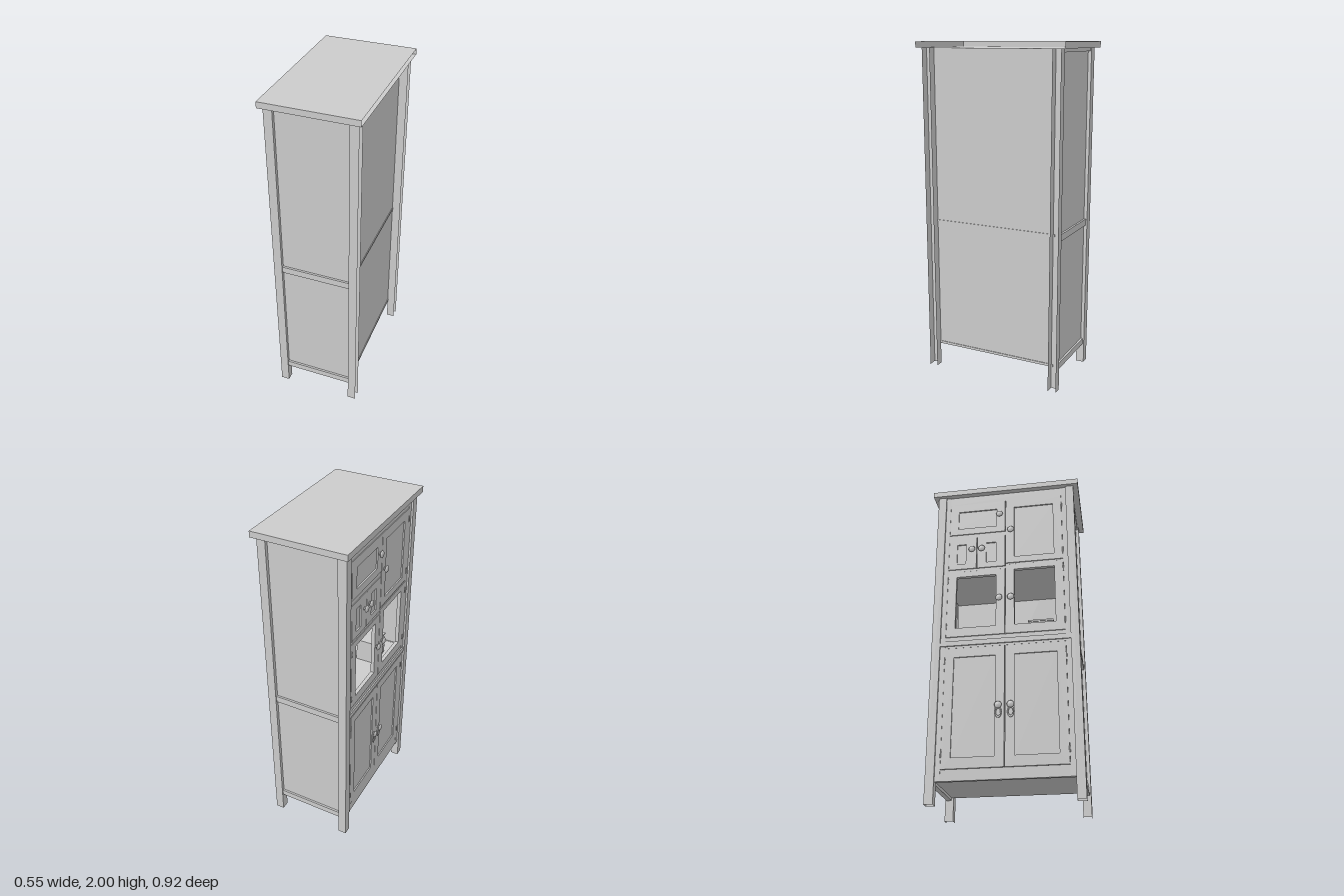
import * as THREE from 'three';

const mat = new THREE.MeshStandardMaterial({ color: 0xcccccc });
const openMat = new THREE.MeshStandardMaterial({ color: 0xcccccc, side: THREE.DoubleSide });

// box sides in the order BoxGeometry stores them
const SIDES = ['+x', '-x', '+y', '-y', '+z', '-z'];

export function createModel() {
  const root = new THREE.Group();
  root.name = 'cabinet';

  const add = (name, geo, parent = root, material = mat) => {
    const m = new THREE.Mesh(geo, material);
    m.name = name;
    parent.add(m);
    return m;
  };
  // box given by its extents
  const box = (name, x0, x1, y0, y1, z0, z1, parent, material) => {
    const m = add(name, new THREE.BoxGeometry(x1 - x0, y1 - y0, z1 - z0), parent, material);
    m.position.set((x0 + x1) / 2, (y0 + y1) / 2, (z0 + z1) / 2);
    return m;
  };
  // hollow box with some sides left out
  const openBox = (open, ...args) => {
    const { geometry } = box(...args, root, openMat);
    const index = Array.from(geometry.index.array);
    geometry.setIndex(index.filter((v, i) => !open.includes(SIDES[Math.floor(i / 6)])));
    geometry.clearGroups();
  };

  // top slab, hollow and open toward the wall
  openBox(['+x'], 'topSlab', -0.275, 0.275, 1.965, 2, -0.46, 0.46);

  // four square corner legs without soles, the rear pair open toward the wall
  for (const sx of [-1, 1]) for (const sz of [-1, 1]) {
    const x = sx * 0.23, z = sz * 0.405;
    openBox(sx > 0 ? ['-y', '+x'] : ['-y'], 'leg', x - 0.025, x + 0.025, 0, 1.965, z - 0.025, z + 0.025);
  }

  // side panels with their rails, mirrored in z
  for (const s of [-1, 1]) {
    const side = new THREE.Group();
    side.name = 'side';
    const slab = (name, y0, y1, zOut, t) => {
      const a = s * zOut, b = s * (zOut - t);
      box(name, -0.205, 0.205, y0, y1, Math.min(a, b), Math.max(a, b), side);
    };
    slab('sidePanel', 0.14, 1.965, 0.41, 0.012);
    slab('bottomSideRail', 0.122, 0.16, 0.422, 0.03);
    slab('middleSideRail', 0.905, 0.945, 0.422, 0.03);
    slab('topSideRail', 1.945, 1.965, 0.422, 0.03);
    root.add(side);
  }

  // back panel set in behind the rear legs
  box('backPanel', 0.195, 0.205, 0.15, 1.965, -0.39, 0.39);

  // floor and shelves; the middle shelf shows as a thin edge at the back
  box('floor', -0.22, 0.209, 0.137, 0.152, -0.39, 0.39);
  box('middleShelf', -0.22, 0.209, 0.932, 0.945, -0.39, 0.39);
  box('upperShelf', -0.22, 0.195, 1.42, 1.435, -0.39, 0.39);

  // face frame
  for (const s of [-1, 1]) box('frameStile', -0.244, -0.22, 0.122, 1.965, s * 0.366 - 0.015, s * 0.366 + 0.015);
  for (const [y0, y1, z0, z1] of [
    [0.122, 0.186, -0.351, 0.351], [0.902, 0.972, -0.351, 0.351], [1.907, 1.965, -0.351, 0.351],
    [1.438, 1.446, 0, 0.351], [1.652, 1.678, -0.351, 0], [1.412, 1.428, -0.351, 0],
  ]) box('frameRail', -0.242, -0.22, y0, y1, z0, z1);
  box('raisedRail', -0.25, -0.242, 0.915, 0.945, -0.38, 0.38);

  // framed door: outer rectangle with an opening, filled by a recessed panel or left open
  const rect = (P, a, b, c, d) => {
    const p = new P();
    p.moveTo(a, c); p.lineTo(b, c); p.lineTo(b, d); p.lineTo(a, d); p.closePath();
    return p;
  };
  const door = (name, [z0, z1, y0, y1], [pz0, pz1, py0, py1], open = false) => {
    const g = new THREE.Group();
    g.name = name;
    const shape = rect(THREE.Shape, z0, z1, y0, y1);
    shape.holes.push(rect(THREE.Path, pz0, pz1, py0, py1));
    const geo = new THREE.ExtrudeGeometry(shape, { depth: 0.022, bevelEnabled: false });
    geo.rotateY(-Math.PI / 2);
    geo.translate(-0.223, 0, 0);
    add('doorFrame', geo, g);
    if (!open) box('doorPanel', -0.237, -0.225, py0, py1, pz0, pz1, g);
    root.add(g);
  };
  for (const s of [-1, 1]) {
    const span = (a, b) => (s > 0 ? [a, b] : [-b, -a]);
    const outer = span(0.002, 0.35), inner = span(0.055, 0.297);
    door('lowerDoor', [...outer, 0.188, 0.9], [...inner, 0.25, 0.842]);
    const top = s > 0 ? 1.436 : 1.41;
    door('openDoor', [...outer, 0.974, top], [...inner, 1.03, top - 0.036], true);
  }
  door('upperDoor', [0.002, 0.35, 1.448, 1.905], [0.055, 0.297, 1.49, 1.851]);
  door('drawerFront', [-0.35, -0.002, 1.68, 1.905], [-0.297, -0.055, 1.724, 1.85]);
  door('smallDoor', [-0.35, -0.179, 1.43, 1.65], [-0.3, -0.245, 1.467, 1.605]);
  door('smallDoor', [-0.175, -0.002, 1.43, 1.65], [-0.118, -0.057, 1.467, 1.605]);

  // round knobs on short stems
  const profile = [[0, 0], [0.011, 0], [0.007, 0.004], [0.006, 0.008], [0.017, 0.011],
    [0.021, 0.016], [0.016, 0.022], [0, 0.024]].map(([r, h]) => new THREE.Vector2(r, h));
  const knobGeo = new THREE.LatheGeometry(profile, 16);
  knobGeo.rotateZ(Math.PI / 2);
  for (const [y, z] of [[1.803, -0.035], [1.68, 0.035], [1.56, -0.205], [1.56, -0.145],
    [1.207, -0.035], [1.207, 0.035], [0.535, -0.035], [0.535, 0.035]]) {
    add('knob', knobGeo, root, openMat).position.set(-0.244, y, z);
  }

  // hanging pulls below the lower knobs
  for (const s of [-1, 1]) {
    const loop = add('hangingPull', new THREE.TorusGeometry(0.016, 0.004, 8, 16));
    loop.rotation.y = Math.PI / 2;
    loop.scale.y = 1.7;
    loop.position.set(-0.25, 0.495, s * 0.035);
  }

  // hinges on the outer door edges
  for (const [s, ys] of [[1, [0.27, 0.82, 1.04, 1.38, 1.51, 1.84]], [-1, [0.27, 0.82, 1.04, 1.35]]]) {
    for (const y of ys) {
      const h = add('hinge', new THREE.CylinderGeometry(0.004, 0.004, 0.035, 8));
      h.position.set(-0.245, y, s * 0.351);
    }
  }

  // little chest standing on the middle shelf
  const chest = new THREE.Group();
  chest.name = 'chest';
  box('chestBody', -0.16, -0.04, 0.945, 1.08, 0.13, 0.27, chest);
  box('chestLid', -0.165, -0.035, 1.08, 1.09, 0.125, 0.275, chest);
  for (const y of [0.962, 1.022]) box('chestDrawer', -0.167, -0.16, y, y + 0.05, 0.138, 0.262, chest);
  root.add(chest);

  return root;
}
